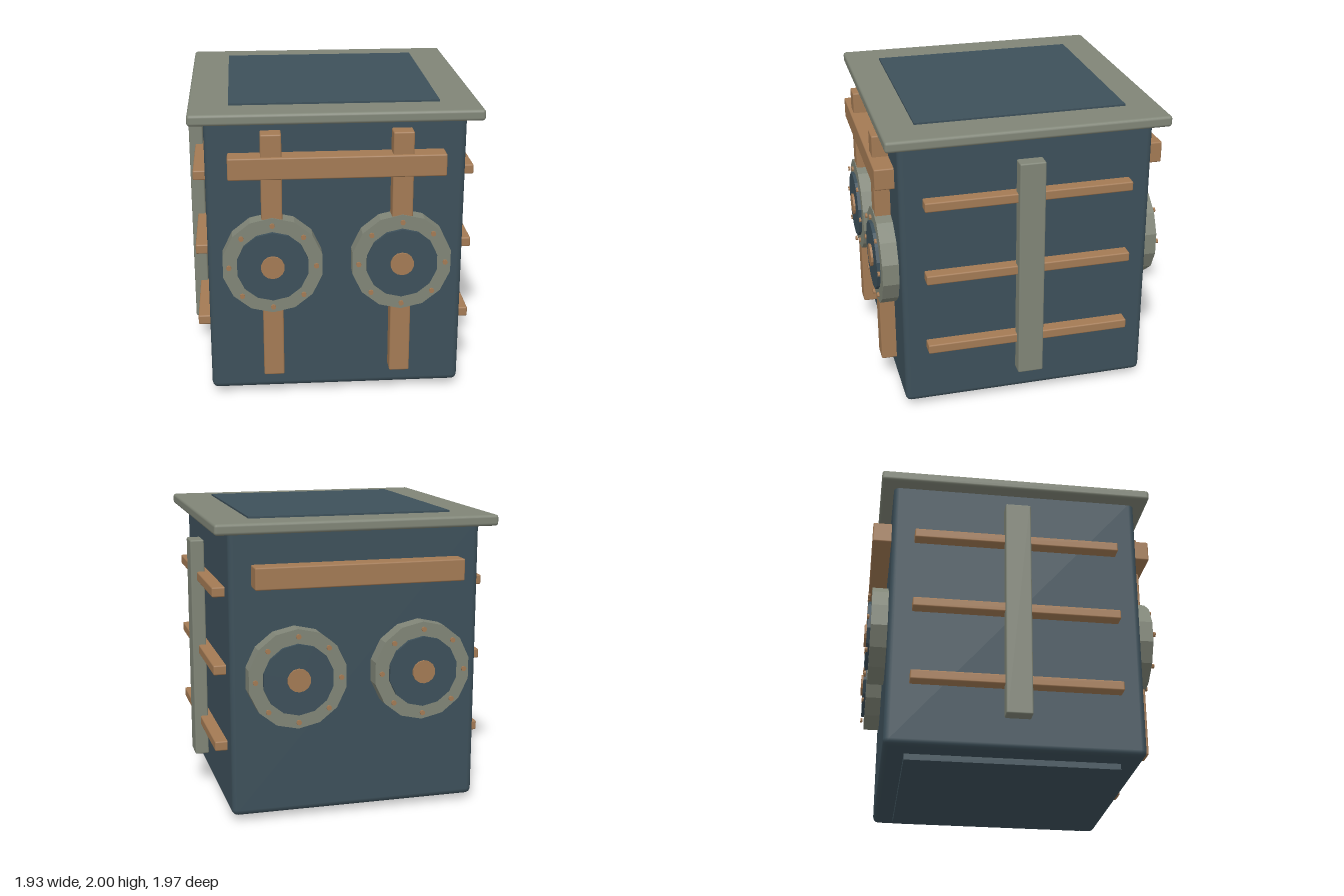
import * as THREE from 'three';
import { RoundedBoxGeometry } from 'three/addons/geometries/RoundedBoxGeometry.js';

export function createModel() {
  const model = new THREE.Group();
  model.name = 'reinforcedCrate';

  const paint = (name, color, flatShading = false) => {
    const m = new THREE.MeshStandardMaterial({ color, flatShading });
    m.name = name;
    return m;
  };
  const slate = paint('slateBlue', 0x3d505a);
  const stone = paint('stoneGrey', 0x808577);
  const copper = paint('copper', 0xa37a54);

  const add = (parent, name, geometry, material, x, y, z) => {
    const mesh = new THREE.Mesh(geometry, material);
    mesh.name = name;
    mesh.position.set(x, y, z);
    parent.add(mesh);
    return mesh;
  };

  // Softly bevelled block given by its extents
  const block = (name, material, [x0, x1], [y0, y1], [z0, z1], r = 0.01) =>
    add(model, name, new RoundedBoxGeometry(x1 - x0, y1 - y0, z1 - z0, 2, r), material,
      (x0 + x1) / 2, (y0 + y1) / 2, (z0 + z1) / 2);

  // Faceted disc facing +z, between two depths
  const disc = (parent, name, material, radius, sides, x, y, z0, z1) => {
    const g = new THREE.CylinderGeometry(radius, radius, z1 - z0, sides).toNonIndexed();
    g.computeVertexNormals();
    g.rotateX(Math.PI / 2);
    return add(parent, name, g, material, x, y, (z0 + z1) / 2);
  };

  // Body, lid and inset panels
  block('body', slate, [-0.84, 0.84], [0.04, 1.96], [-0.84, 0.84], 0.04);
  block('lid', stone, [-0.938, 0.938], [1.915, 1.988], [-0.928, 0.928], 0.02);
  add(model, 'topPanel', new THREE.BoxGeometry(1.36, 0.06, 1.4), slate, 0, 1.97, 0);
  add(model, 'bottomPanel', new THREE.BoxGeometry(1.36, 0.06, 1.4), slate, 0, 0.03, 0);

  // Front posts, and crossbeams front and back
  for (const x of [-0.42, 0.42])
    block('frontPost', copper, [x - 0.067, x + 0.067], [0.187, 1.86], [0.81, 0.945]);
  block('frontBeam', copper, [-0.695, 0.695], [1.57, 1.715], [0.81, 0.968]);
  block('backBeam', copper, [-0.695, 0.695], [1.57, 1.715], [-0.968, -0.81]);

  // Round port: flange, cover, hub and a ring of bolts
  const makePort = (name) => {
    const port = new THREE.Group();
    port.name = name;
    disc(port, 'flange', stone, 0.33, 14, 0, 0, 0.82, 0.95);
    disc(port, 'cover', slate, 0.235, 14, 0, 0, 0.9, 0.972);
    disc(port, 'hub', copper, 0.077, 14, 0, 0, 0.93, 0.987);
    for (let i = 0; i < 8; i++) {
      const a = (i / 8) * Math.PI * 2;
      disc(port, 'bolt', copper, 0.017, 8, 0.283 * Math.cos(a), 0.283 * Math.sin(a), 0.962, 0.976);
    }
    return port;
  };
  for (const x of [-0.42, 0.42]) {
    const front = makePort('frontPort');
    front.position.set(x, 0.98, 0);
    const back = makePort('backPort');
    back.position.set(x, 0.98, 0);
    back.rotation.y = Math.PI;
    model.add(front, back);
  }

  // Side rails with three crossbars each
  for (const s of [-1, 1]) {
    const span = (a, b) => (s > 0 ? [a, b] : [-b, -a]);
    block(s > 0 ? 'leftRail' : 'rightRail', stone, span(0.87, 0.965), [0.235, 1.772], [-0.086, 0.086]);
    for (const y of [0.485, 1.003, 1.52])
      block(s > 0 ? 'leftBar' : 'rightBar', copper, span(0.82, 0.923), [y - 0.033, y + 0.033], [-0.69, 0.69]);
  }

  return model;
}
